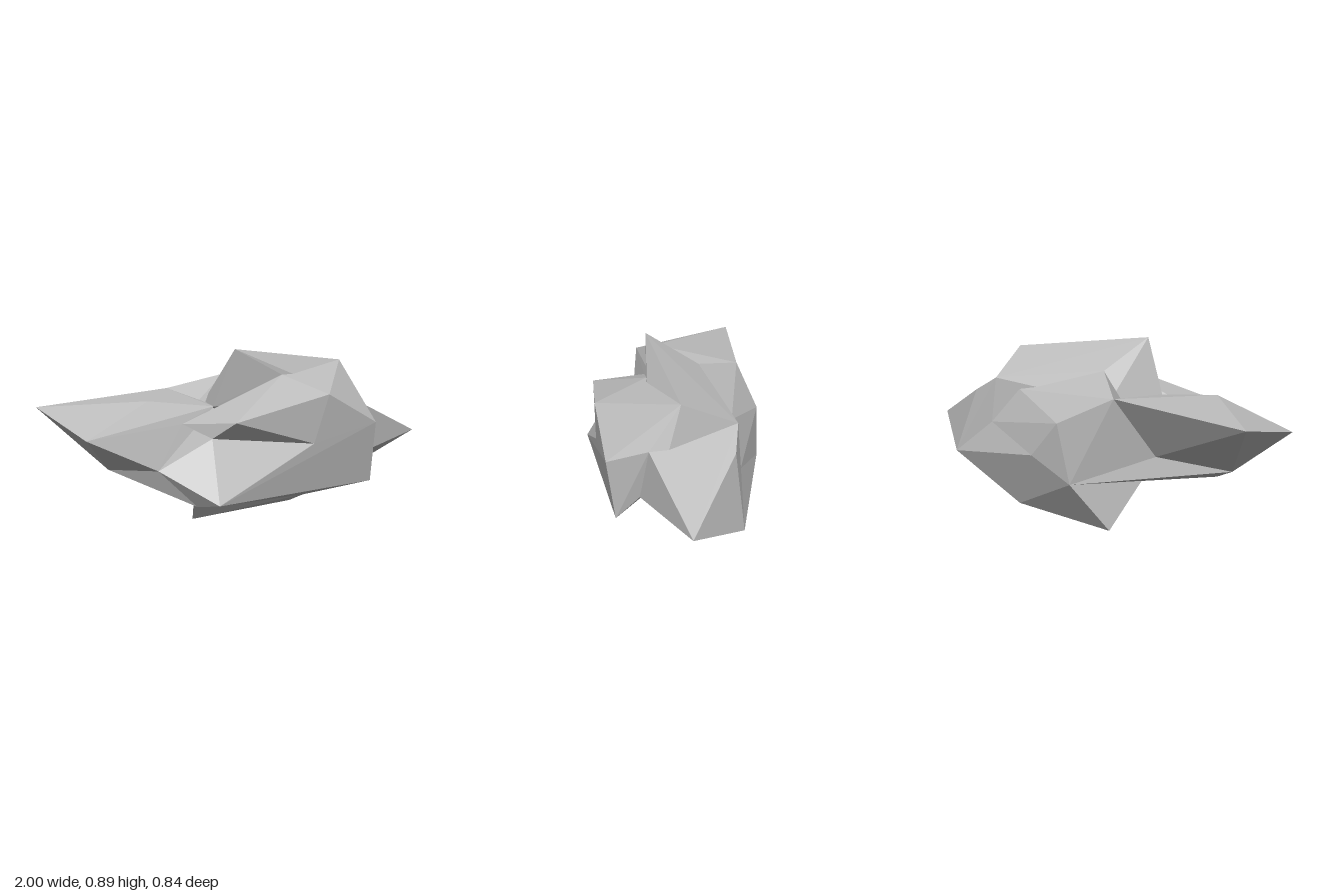
import * as THREE from 'three';
import { ConvexGeometry } from 'three/addons/geometries/ConvexGeometry.js';

// Faceted boulder: convex chunks sharing corner points, so creases and notches form where they meet.
export function createModel() {
  const group = new THREE.Group();
  group.name = 'boulder';
  const stone = new THREE.MeshStandardMaterial({ color: 0xbcbcbc, flatShading: true });
  stone.name = 'stone grey';

  const chunk = (name, ...points) => {
    const geometry = new ConvexGeometry(points.map((p) => new THREE.Vector3(...p)));
    const mesh = new THREE.Mesh(geometry, stone);
    mesh.name = name;
    group.add(mesh);
  };

  // crown corners
  const peak = [-0.22, 0.89, 0.125], crownRight = [0.49, 0.805, 0.04];
  const crownBack = [0.45, 0.68, -0.23], crownNotch = [-0.12, 0.75, -0.13];
  const crownMid = [0.31, 0.635, -0.225], notchFoot = [-0.19, 0.61, -0.2];
  // front slab corners
  const slabLeft = [-0.505, 0.55, 0.105], slabTop = [0.04, 0.757, 0.15];
  const brow = [0.13, 0.677, 0.408], cheekTop = [0.447, 0.518, 0.383];
  const cheekLow = [0.447, 0.22, 0.343], chin = [-0.505, 0.212, 0.42];
  const lip = [-0.39, 0.575, 0.385], cleft = [-0.445, 0.495, 0.27], cleftEnd = [0.045, 0.447, 0.402];
  // right point corners
  const tip = [1, 0.4, 0.055], shoulder = [0.515, 0.59, 0.19], armpit = [0.47, 0.337, 0.23];
  const ridge = [0.535, 0.605, 0.1], rearTop = [0.6, 0.6, -0.195];
  const rearLow = [0.72, 0.27, -0.22], hollow = [0.47, 0.455, -0.243];
  // left wing corners
  const wingBack = [-1, 0.613, -0.42], wingFront = [-1, 0.51, 0.1];
  const wingTop = [-0.645, 0.66, 0.03], wingRoot = [-0.32, 0.62, 0.09];
  const wingSide = [-0.665, 0.35, 0.155], wingLow = [-0.79, 0.335, -0.095];
  const wingValley = [-0.46, 0.39, -0.225], underLeft = [-0.535, 0.19, 0.28];
  // back and base corners
  const backTop = [-0.31, 0.67, -0.358], backMid = [-0.035, 0.535, -0.415];
  const backRight = [0.13, 0.355, -0.388], backLow = [-0.09, 0.24, -0.392];
  const foot = [-0.227, 0, -0.255], footRight = [0.3, 0.057, -0.25];
  const keel = [0.14, 0.157, 0.19], keelLow = [0.145, 0.11, 0.075], keelRoot = [-0.36, 0.35, 0];
  const core = [0, 0.42, 0];

  chunk('crown', peak, crownRight, crownBack, crownNotch, crownMid, notchFoot,
    wingRoot, slabTop, shoulder, ridge, core);
  chunk('upperFrontSlab', slabLeft, slabTop, crownRight, brow, cheekTop, lip,
    cleft, cleftEnd, shoulder, core);
  chunk('lowerFrontSlab', cleft, cleftEnd, cheekTop, cheekLow, chin, armpit,
    shoulder, underLeft, keel, wingSide, core);
  chunk('rightPoint', tip, shoulder, ridge, armpit, crownBack, crownMid, rearTop,
    rearLow, hollow, footRight, keel);
  chunk('rightRear', hollow, crownMid, backRight, rearLow, footRight, keel, core);
  chunk('leftWing', wingBack, wingFront, wingTop, wingRoot, wingSide, wingLow,
    wingValley, slabLeft, backTop, notchFoot);
  chunk('lowerLeftBody', wingLow, wingSide, underLeft, wingValley, backLow, keel, core);
  chunk('back', backTop, backMid, backRight, backLow, wingValley, crownNotch,
    crownMid, hollow, notchFoot, core);
  chunk('belly', foot, footRight, keel, keelLow, backRight, backLow, keelRoot, core);

  return group;
}
